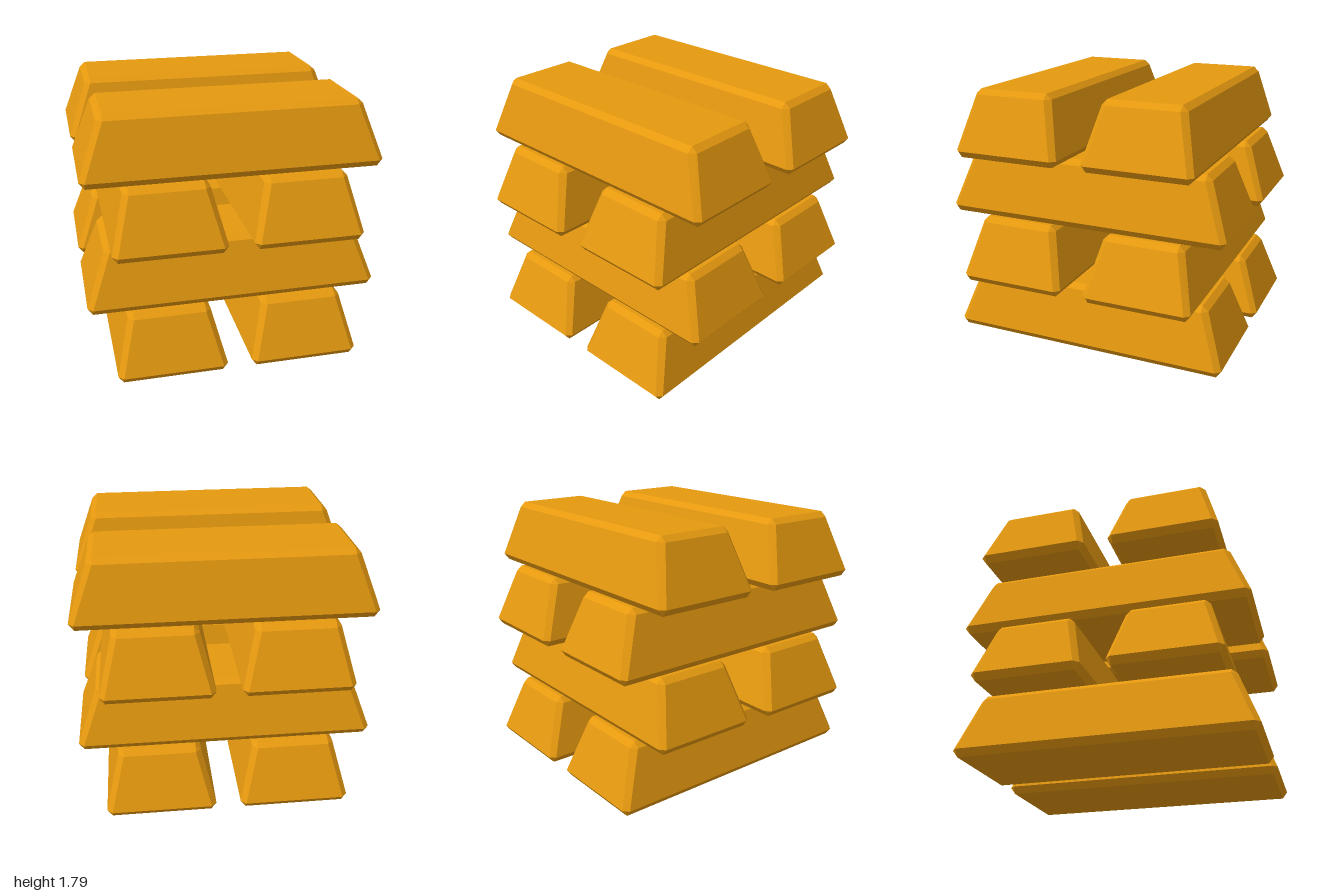
import * as THREE from 'three';
import { ConvexGeometry } from 'three/addons/geometries/ConvexGeometry.js';

const BAR_HEIGHT = 0.4475;

// Tapered ingot lying along x, with chamfered edges and corners.
function ingotGeometry() {
  // Half length, height, half width; mirrored to all four corners.
  const corner = [
    [0.965, 0, 0.34], // underside
    [1, 0.047, 0.34], // widest rim, end and side
    [0.965, 0.047, 0.375],
    [0.87, 0.412, 0.245], // shoulder, end and side
    [0.83, 0.412, 0.283],
    [0.83, BAR_HEIGHT, 0.245], // top face
  ];
  const points = [];
  for (const sx of [-1, 1]) {
    for (const sz of [-1, 1]) {
      for (const [x, y, z] of corner) points.push(new THREE.Vector3(sx * x, y, sz * z));
    }
  }
  return new ConvexGeometry(points);
}

export function createModel() {
  const model = new THREE.Group();
  model.name = 'ingotStack';

  const gold = new THREE.MeshStandardMaterial({ color: 0xe6990f });
  gold.name = 'gold';
  const geometry = ingotGeometry();

  // Four crossed layers of two ingots; the lowest layer runs front to back.
  for (let i = 0; i < 4; i++) {
    const layer = new THREE.Group();
    layer.name = `layer${i + 1}`;
    layer.position.y = i * BAR_HEIGHT;
    layer.rotation.y = i % 2 === 0 ? Math.PI / 2 : 0;
    for (const side of [-1, 1]) {
      const ingot = new THREE.Mesh(geometry, gold);
      ingot.name = side < 0 ? 'ingotA' : 'ingotB';
      ingot.position.z = side * 0.46;
      layer.add(ingot);
    }
    model.add(layer);
  }
  return model;
}
